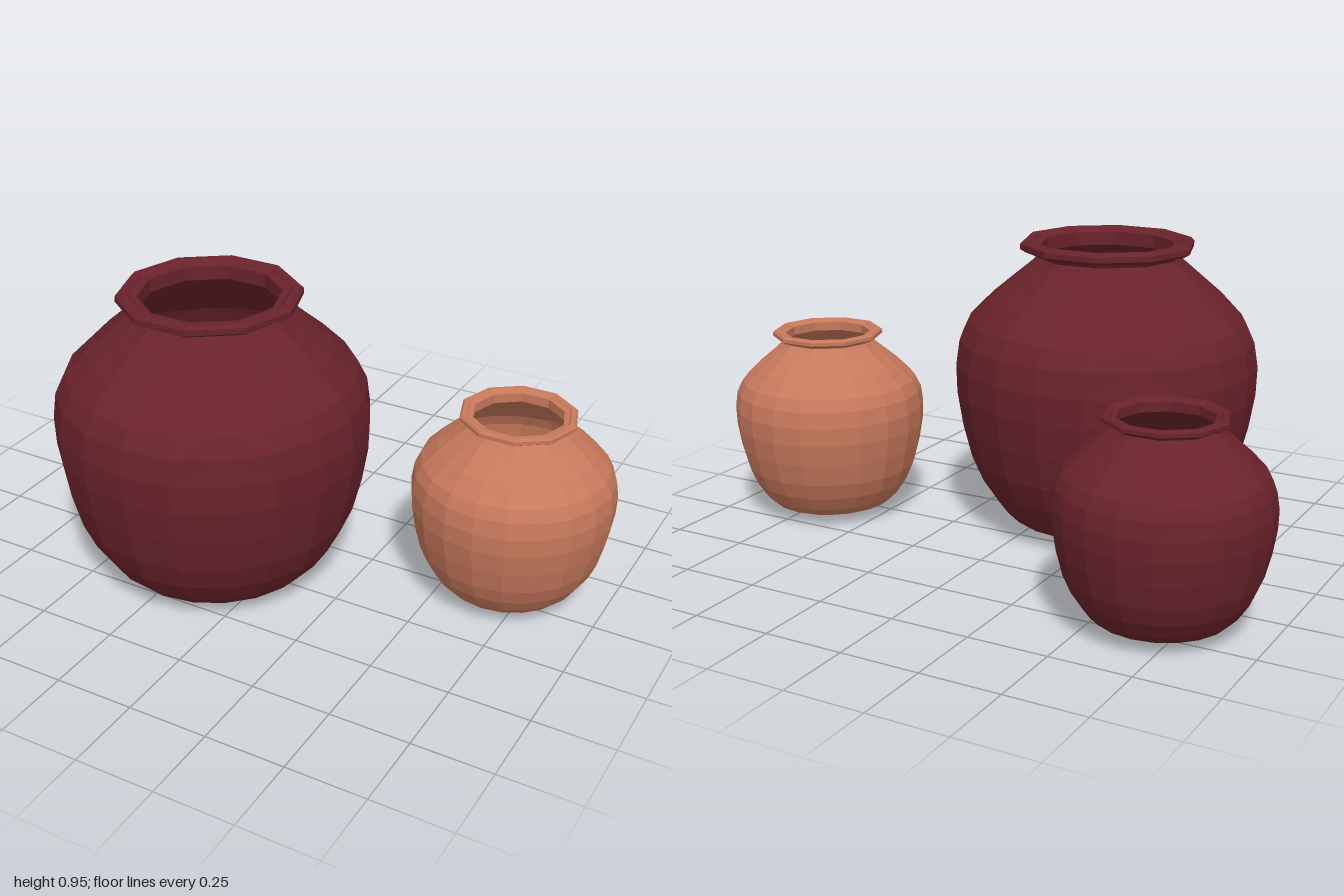
import * as THREE from 'three';

const RED = 0x6a232b, CLAY = 0xc8795c, SIDES = 20;

// Profiles as [radius, height, coarse]; coarse 1 flattens the ring to ten sides
const BASE = [[0, 0.005, 0], [0.26, 0.03, 1.6]];
const BODY = [
  [0.26, 0.03, 1.6], [0.31, 0.05, 0], [0.35, 0.09, 0], [0.4, 0.165, 0], [0.437, 0.25, 0],
  [0.465, 0.36, 0], [0.483, 0.47, 0], [0.486, 0.56, 0], [0.475, 0.64, 0.1],
  [0.445, 0.7, 0], [0.375, 0.775, 0.25], [0.3, 0.84, 0.5], [0.245, 0.888, 0.9], [0.23, 0.905, 1],
];
const RIM = [
  [0.23, 0.905, 1], [0.237, 0.916, 1], [0.262, 0.919, 1], [0.28, 0.93, 1], [0.28, 0.947, 1],
  [0.27, 0.957, 1], [0.25, 0.957, 1], [0.24, 0.948, 1], [0.216, 0.944, 1], [0.216, 0.9, 1],
];

// Turned surface from a bottom-to-top profile, every second vertex pulled in on coarse rings
function turned(profile) {
  const pos = [], index = [];
  const chord = 1 - Math.cos(Math.PI / 10);
  for (const [r, y, coarse] of profile) {
    for (let i = 0; i < SIDES; i++) {
      const a = (i / SIDES) * Math.PI * 2;
      const rr = i % 2 ? r * (1 - chord * coarse) : r;
      pos.push(rr * Math.cos(a), y, rr * Math.sin(a));
    }
  }
  for (let j = 0; j < profile.length - 1; j++) {
    for (let i = 0; i < SIDES; i++) {
      const k = (i + 1) % SIDES;
      const a = j * SIDES + i, b = j * SIDES + k, c = a + SIDES, d = b + SIDES;
      // alternate diagonals so facets mirror about each side
      if (i % 2) index.push(a, c, b, b, c, d);
      else index.push(a, c, d, a, d, b);
    }
  }
  const g = new THREE.BufferGeometry();
  g.setAttribute('position', new THREE.Float32BufferAttribute(pos, 3));
  g.setIndex(index);
  const flat = g.toNonIndexed();
  flat.computeVertexNormals();
  return flat;
}

function pot(name, color, baseColor, scale, x, y, z) {
  const group = new THREE.Group();
  group.name = name;
  const add = (part, profile, c) => {
    const mesh = new THREE.Mesh(turned(profile), new THREE.MeshStandardMaterial({
      color: c, flatShading: true, side: THREE.DoubleSide,
    }));
    mesh.name = part;
    group.add(mesh);
  };
  add('base', BASE, baseColor);
  add('body', BODY, color);
  add('rim', RIM, color);
  group.scale.setScalar(scale);
  group.position.set(x, y, z);
  return group;
}

export function createModel() {
  const model = new THREE.Group();
  model.name = 'pots';
  model.add(
    pot('largePot', RED, CLAY, 1, -0.185, 0, 0.245),
    pot('smallRedPot', RED, RED, 0.643, -0.688, 0.014, -0.425),
    pot('smallClayPot', CLAY, CLAY, 0.643, 0.688, 0.014, -0.07),
  );
  return model;
}
